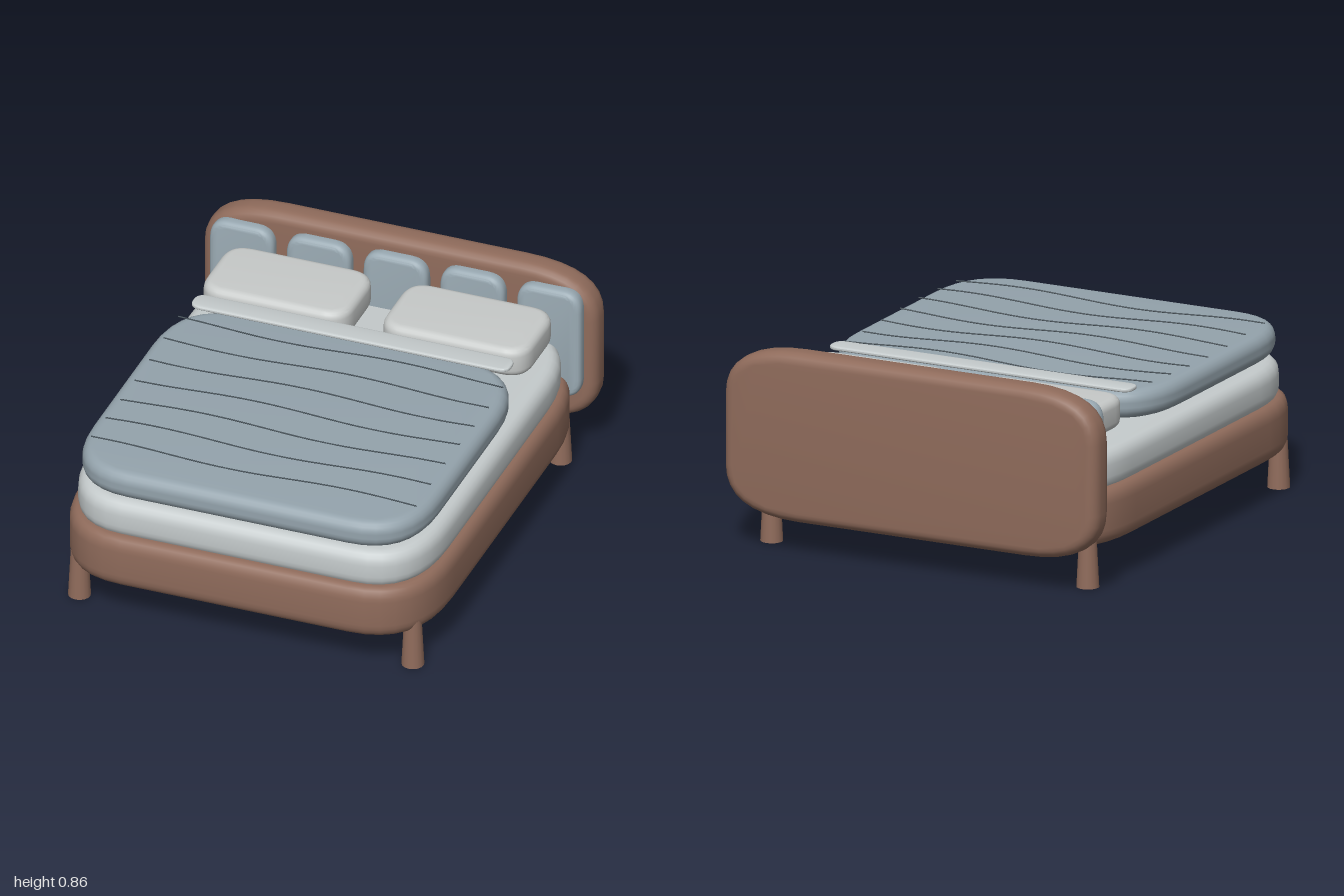
import * as THREE from 'three';
import { toCreasedNormals } from 'three/addons/utils/BufferGeometryUtils.js';

const material = (name, color) => {
  const m = new THREE.MeshStandardMaterial({ color });
  m.name = name;
  return m;
};

// Soft slab: outline w by h with corners cx by cy, thickness t, rounded rim
function slab(w, h, t, cx, cy, rimSize, rimDepth) {
  const a = w / 2, b = h / 2, s = new THREE.Shape();
  s.moveTo(a, -b + cy);
  s.lineTo(a, b - cy);
  s.quadraticCurveTo(a, b, a - cx, b);
  s.lineTo(-a + cx, b);
  s.quadraticCurveTo(-a, b, -a, b - cy);
  s.lineTo(-a, -b + cy);
  s.quadraticCurveTo(-a, -b, -a + cx, -b);
  s.lineTo(a - cx, -b);
  s.quadraticCurveTo(a, -b, a, -b + cy);
  const g = new THREE.ExtrudeGeometry(s, {
    depth: t - 2 * rimDepth, curveSegments: 8, bevelEnabled: true, bevelSegments: 5,
    bevelSize: rimSize, bevelThickness: rimDepth, bevelOffset: -rimSize,
  });
  g.center();
  return toCreasedNormals(g, 0.6);
}

export function createModel() {
  const group = new THREE.Group();
  group.name = 'bed';
  const wood = material('brown wood', 0x8f6b5b);
  const sheet = material('pale grey linen', 0xc5cbcc);
  const pillowCloth = material('pillow linen', 0xc7cac9);
  const blue = material('blue grey cloth', 0x94a3ac);
  const padCloth = material('pad cloth', 0x9aaab3);
  const thread = material('dark thread', 0x4b565d);

  const add = (name, geometry, mat, x = 0, y = 0, z = 0) => {
    const mesh = new THREE.Mesh(geometry, mat);
    mesh.name = name;
    mesh.position.set(x, y, z);
    group.add(mesh);
    return mesh;
  };
  // Lying slab given by its extents
  const lying = (name, mat, [x0, x1], [y0, y1], [z0, z1], cx, cz, rimSize, rimDepth) => {
    const g = slab(x1 - x0, z1 - z0, y1 - y0, cx, cz, rimSize, rimDepth).rotateX(-Math.PI / 2);
    return add(name, g, mat, (x0 + x1) / 2, (y0 + y1) / 2, (z0 + z1) / 2);
  };

  // Base, mattress and blanket
  lying('frame', wood, [-0.815, 0.815], [0.17, 0.4], [-0.96, 1], 0.32, 0.4, 0.04, 0.06);
  lying('mattress', sheet, [-0.785, 0.785], [0.38, 0.55], [-0.92, 0.96], 0.28, 0.38, 0.05, 0.06);
  lying('blanket', blue, [-0.76, 0.76], [0.57, 0.69], [-0.38, 0.96], 0.28, 0.34, 0.045, 0.05);
  lying('foldedSheet', sheet, [-0.695, 0.695], [0.705, 0.722], [-0.4, -0.3], 0.05, 0.045, 0.008, 0.007);

  // Quilting threads
  for (let i = 0; i < 7; i++) {
    const points = [];
    for (let k = 0; k <= 12; k++) {
      const x = -0.71 + 1.42 * k / 12;
      points.push(new THREE.Vector3(x, 0.702 + 0.01 * Math.sin(x * 6 + i * 0.9), 0));
    }
    const path = new THREE.CatmullRomCurve3(points);
    add('blanketSeam', new THREE.TubeGeometry(path, 36, 0.003, 5), thread, 0, 0, -0.22 + i * 0.163);
  }

  // Headboard with five upright pads
  add('headboard', slab(1.72, 0.72, 0.135, 0.34, 0.21, 0.045, 0.05), wood, 0, 0.5, -0.9325);
  for (let i = -2; i <= 2; i++) {
    add('headboardPad', slab(0.28, 0.5, 0.07, 0.08, 0.09, 0.025, 0.025), padCloth, i * 0.335, 0.55, -0.85);
  }

  for (const side of [-1, 1]) {
    // Pillows
    lying('pillow', pillowCloth, side < 0 ? [-0.715, -0.07] : [0.07, 0.715],
      [0.59, 0.722], [-0.815, -0.44], 0.11, 0.11, 0.035, 0.035);
    // Tapered legs
    for (const z of [0.845, -0.815]) {
      add('leg', new THREE.CylinderGeometry(0.036, 0.047, 0.215, 16), wood, side * 0.727, 0.1075, z);
    }
  }
  return group;
}
